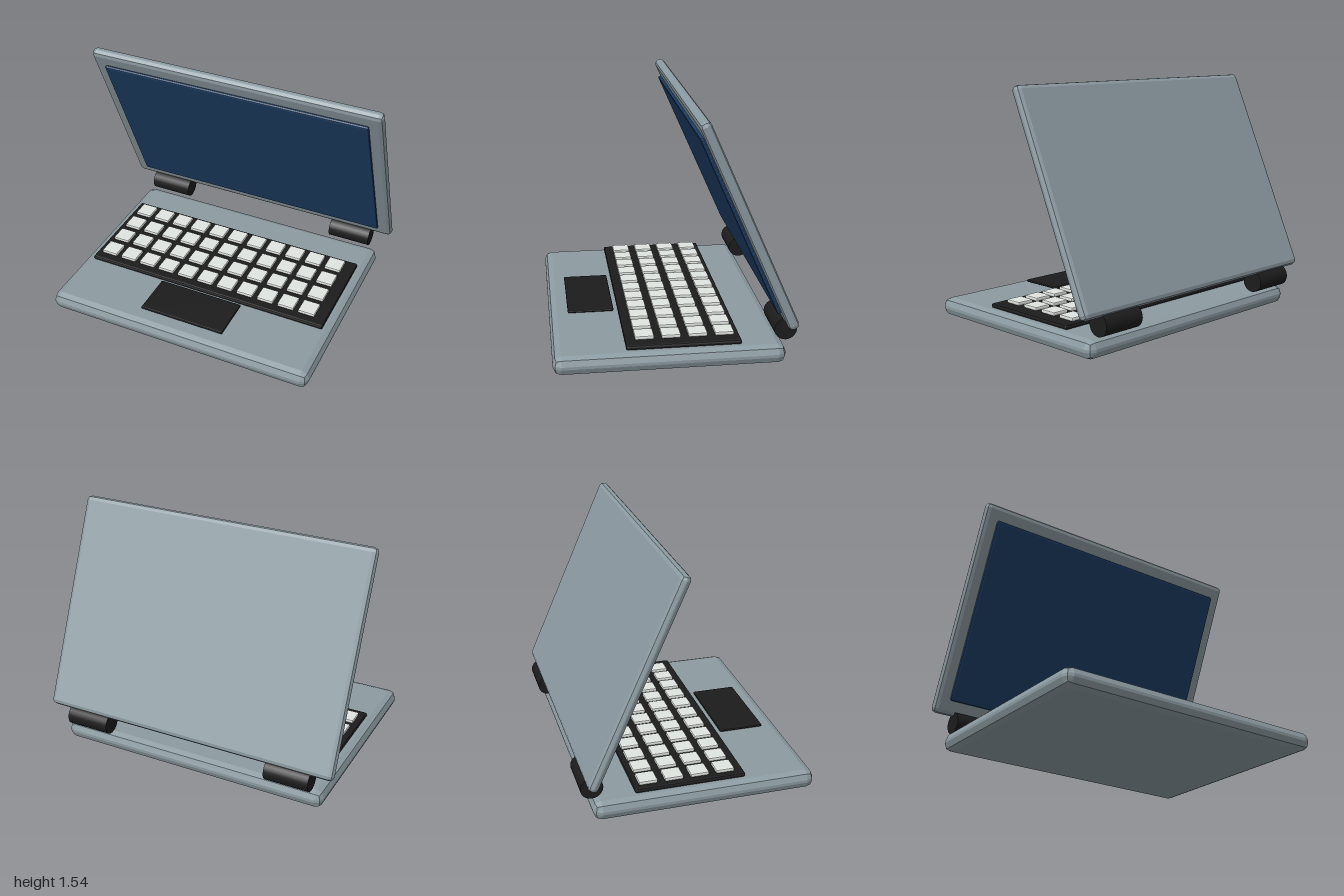
import * as THREE from 'three';
import { RoundedBoxGeometry } from 'three/addons/geometries/RoundedBoxGeometry.js';

function material(name, color) {
  const m = new THREE.MeshStandardMaterial({ color });
  m.name = name;
  return m;
}

export function createModel() {
  const shell = material('blue grey shell', 0x8c9ba2);
  const black = material('soft black', 0x1c1c1c);
  const keyGrey = material('light key grey', 0xe1e5e1);
  const navy = material('navy screen', 0x1e3f66);

  const model = new THREE.Group();
  model.name = 'laptop';

  // Slab with faceted bevels: size, bevel radius, centre
  function slab(name, mat, [w, h, d], radius, [x, y, z], parent = model) {
    const geometry = new RoundedBoxGeometry(w, h, d, 1, radius);
    geometry.computeVertexNormals();
    const mesh = new THREE.Mesh(geometry, mat);
    mesh.name = name;
    mesh.position.set(x, y, z);
    parent.add(mesh);
    return mesh;
  }

  // Lower body
  slab('base', shell, [1.835, 0.118, 1.41], 0.05, [0, 0.059, 0.035]);
  slab('keyboardDeck', black, [1.706, 0.03, 0.704], 0.012, [0, 0.135, -0.052]);
  slab('trackpad', black, [0.588, 0.018, 0.296], 0.008, [-0.003, 0.139, 0.474]);

  // Keys: four rows of eleven
  const keys = new THREE.Group();
  keys.name = 'keys';
  model.add(keys);
  for (let row = 0; row < 4; row++) {
    for (let col = 0; col < 11; col++) {
      slab('key', keyGrey, [0.115, 0.024, 0.118], 0.008,
        [-0.757 + col * 0.1474, 0.161, 0.181 - row * 0.164], keys);
    }
  }

  // Lid, tipped forward over the keyboard
  const lid = new THREE.Group();
  lid.name = 'lid';
  lid.position.set(0, 0.8985, -0.412);
  lid.rotation.x = 0.418;
  model.add(lid);
  slab('lidShell', shell, [2, 1.395, 0.068], 0.03, [0, 0, 0], lid);
  slab('screen', navy, [1.826, 1.198, 0.026], 0.012, [0, 0, 0.043], lid);

  // Hinge barrels, mirrored
  for (const side of [-1, 1]) {
    const hinge = new THREE.Mesh(new THREE.CylinderGeometry(0.07, 0.07, 0.292, 24), black);
    hinge.name = side > 0 ? 'leftHinge' : 'rightHinge';
    hinge.rotation.z = Math.PI / 2;
    hinge.position.set(side * 0.708, 0.208, -0.67);
    model.add(hinge);
  }

  return model;
}
